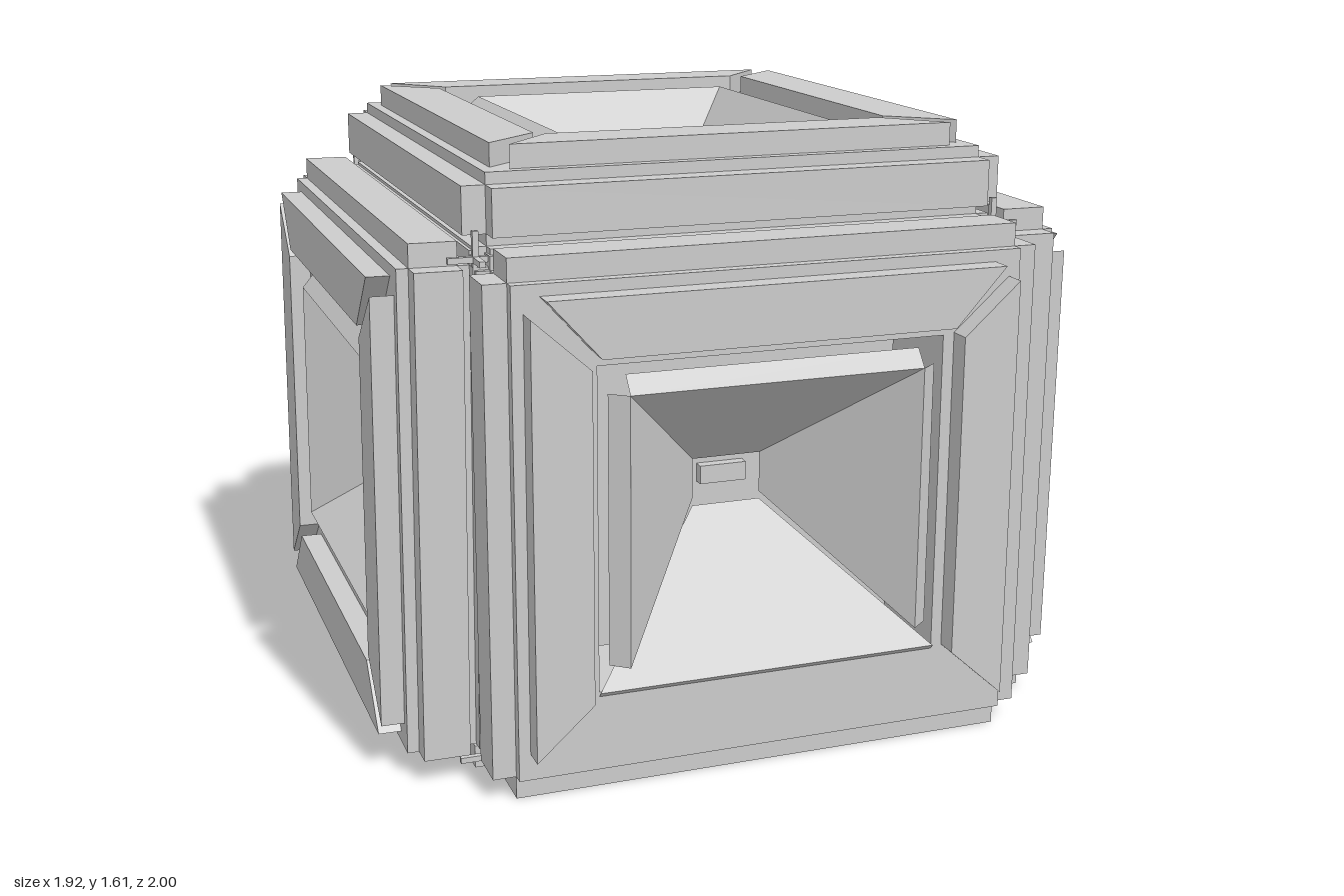
import * as THREE from 'three';

const material = new THREE.MeshStandardMaterial({ color: 0xcccccc, flatShading: true });
const CENTRE = 0.69;

function part(name, geometry) {
  const mesh = new THREE.Mesh(geometry, material);
  mesh.name = name;
  return mesh;
}

function box(name, w, h, d, x = 0, y = 0, z = 0) {
  return part(name, new THREE.BoxGeometry(w, h, d).translate(x, y, z));
}

// Ring with a rectangular hole, from depth z0 to z1 below the window's front.
// Each side stands out by `grow`, leaving the corners notched; `cut` shortens the bottom one.
function ring(name, w, h, grow, holeW, holeH, z0, z1, cut) {
  const W = w + grow, H = h + grow, bottom = -H + cut;
  const outline = grow > 0
    ? [[-w, bottom], [w, bottom], [w, -h], [W, -h], [W, h], [w, h], [w, H], [-w, H], [-w, h], [-W, h], [-W, -h], [-w, -h]]
    : [[-w, -h], [w, -h], [w, h], [-w, h]];
  const shape = new THREE.Shape(outline.map(([x, y]) => new THREE.Vector2(x, y)));
  const hole = [[-holeW, -holeH], [-holeW, holeH], [holeW, holeH], [holeW, -holeH]];
  shape.holes.push(new THREE.Path(hole.map(([x, y]) => new THREE.Vector2(x, y))));
  const geometry = new THREE.ExtrudeGeometry(shape, { depth: z1 - z0, bevelEnabled: false });
  return part(name, geometry.translate(0, 0, -z1));
}

// Mitred bar: section = [innerBack, outerBack, innerFront, outerFront], each [radius, z, halfLength]
function mitredBar(name, section, turn) {
  const geometry = new THREE.BoxGeometry(2, 2, 2);
  const p = geometry.attributes.position;
  for (let i = 0; i < p.count; i++) {
    const [r, z, half] = section[(p.getY(i) > 0 ? 1 : 0) + (p.getZ(i) > 0 ? 2 : 0)];
    p.setXYZ(i, Math.sign(p.getX(i)) * half, r, z);
  }
  geometry.rotateZ(turn * Math.PI / 2);
  geometry.computeVertexNormals();
  return part(name, geometry);
}

// Stepped window frame with a funnel of four thick sloping panels
function createWindow(name, a, b, { openBottom = false, cut = 0 }) {
  const group = new THREE.Group();
  group.name = name;

  // Stepped rings: [how far the sides stand out, start depth, end depth]
  const steps = [[0, 0.06, 0.09], [0.06, 0.09, 0.21], [0, 0.21, 0.24], [0.035, 0.24, 0.30], [0, 0.30, 0.34]];
  for (const [grow, z0, z1] of steps) {
    const shorten = Math.min(cut, grow * 0.95);
    group.add(ring('frameStep', a + 0.03, b + 0.03, grow, a - 0.18, b - 0.18, z0, z1, shorten));
  }

  for (let k = 0; k < 4; k++) {
    const [t, r] = k % 2 ? [b, a] : [a, b]; // tangential and radial half sizes
    const open = openBottom && k === 2;

    // Outer frame bar with a small gap at each mitre
    if (!open) {
      const r0 = r - 0.15, h0 = t - 0.175, h1 = t - 0.04;
      group.add(mitredBar('frameBar', [[r0, -0.06, h0], [r, -0.06, h1], [r0, 0, h0], [r, 0, h1]], k));
    }

    // Funnel panel, square-cut at its lip; the one without a bar reaches further out
    const lip = open ? 0.18 : 0.25, zLip = open ? -0.05 : -0.02;
    const end = open ? 0.525 : 0.545, zEnd = -0.38;
    const dr = 0.045, dz = 0.037;
    group.add(mitredBar('funnelPanel', [
      [r - end + dr, zEnd - dz, t - 0.545],
      [r - lip + dr, zLip - dz, t - lip],
      [r - end, zEnd, t - 0.545],
      [r - lip, zLip, t - lip],
    ], k));
  }

  // Small block at the bottom of the funnel
  group.add(box('funnelBlock', 2 * (a - 0.575), 2 * (b - 0.575), 0.04, 0, 0, -0.42));
  return group;
}

export function createModel() {
  const model = new THREE.Group();
  model.name = 'windowedCube';

  const windows = [
    // name, half width, half height, distance, turn about x, turn about y, tilt, options
    ['frontWindow', 0.64, 0.60, 1.0, 0, 0, 0, { openBottom: true }],
    ['backWindow', 0.64, 0.60, 1.0, 0, Math.PI, 0, {}],
    ['leftWindow', 0.68, 0.60, 0.955, 0, Math.PI / 2, -0.005, { cut: 0.005 }],
    ['rightWindow', 0.68, 0.60, 0.955, 0, -Math.PI / 2, -0.01, { cut: 0.06 }],
    ['topWindow', 0.635, 0.68, 0.92, -Math.PI / 2, 0, 0, {}],
  ];
  for (const [name, a, b, distance, rx, ry, tilt, options] of windows) {
    const face = createWindow(name, a, b, options);
    face.rotation.set(rx, ry, 0);
    face.position.set(0, 0, distance).applyEuler(face.rotation);
    const holder = new THREE.Group();
    holder.name = name + 'Mount';
    holder.position.y = CENTRE;
    holder.rotation.z = tilt;
    holder.add(face);
    model.add(holder);
  }

  // Thin pins crossing in the notched corners
  for (const x of [-0.7, 0.7]) for (const y of [0.04, 1.345]) for (const z of [-0.735, 0.735]) {
    model.add(box('cornerPin', 0.14, 0.015, 0.015, x, y, z));
    model.add(box('cornerPin', 0.015, 0.015, 0.14, x, y, z));
    if (y > 1) model.add(box('cornerPin', 0.015, 0.14, 0.015, x, y, z));
  }

  // Hidden core closing the funnels, and the flat base plate
  model.add(box('core', 1.05, 0.98, 1.14, 0, CENTRE, 0));
  model.add(box('basePlate', 1.45, 0.06, 1.42, 0, 0.03, 0));
  return model;
}
